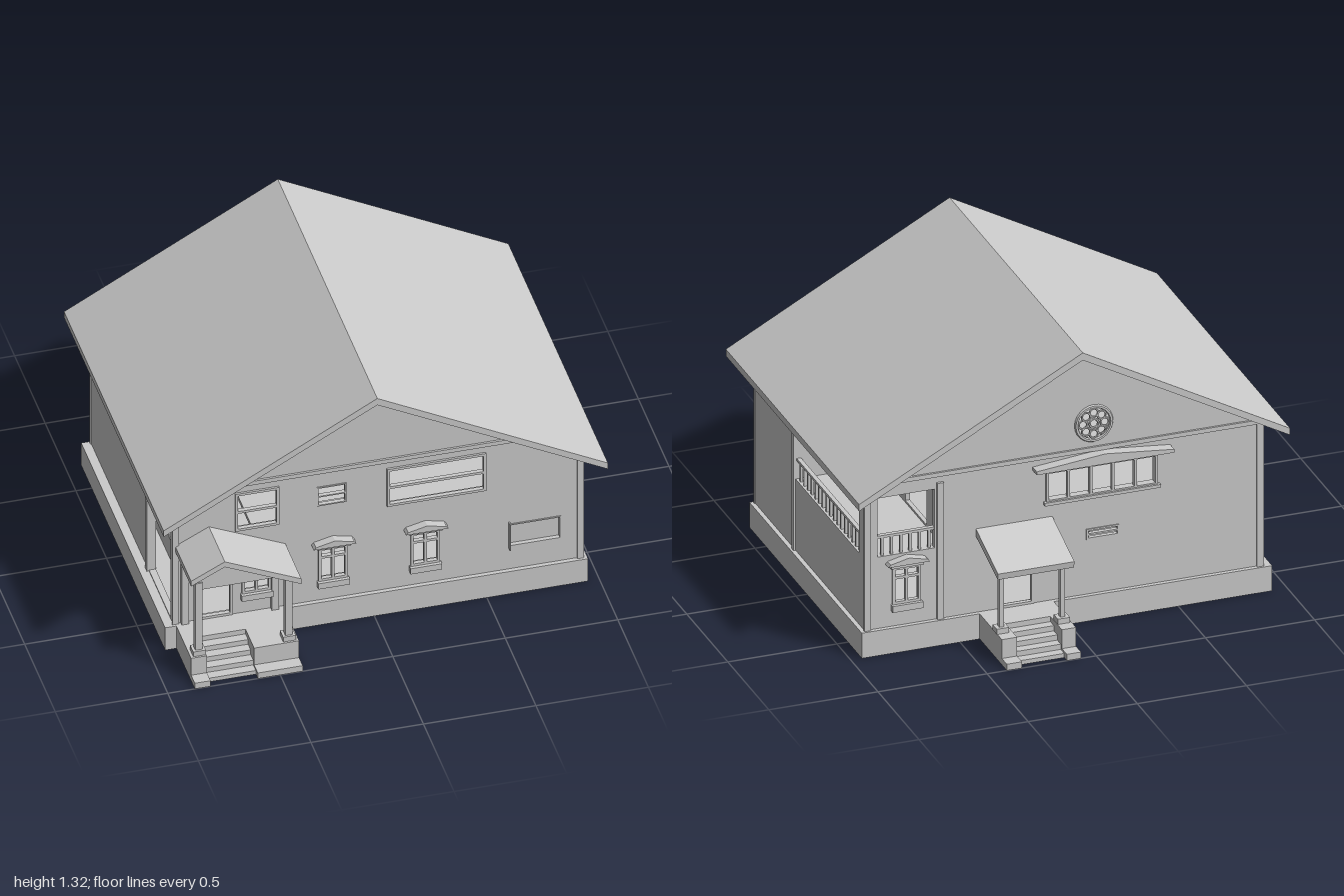
import * as THREE from 'three';

const mat = new THREE.MeshStandardMaterial({ color: 0xcccccc, flatShading: true, side: THREE.DoubleSide });

export function createModel() {
  const house = new THREE.Group();
  house.name = 'house';

  const add = (name, geo) => {
    const m = new THREE.Mesh(geo, mat);
    m.name = name;
    house.add(m);
    return m;
  };
  // Box from its limits
  const box = (name, x0, x1, y0, y1, z0, z1) => {
    const m = add(name, new THREE.BoxGeometry(x1 - x0, y1 - y0, z1 - z0));
    m.position.set((x0 + x1) / 2, (y0 + y1) / 2, (z0 + z1) / 2);
    return m;
  };
  const poly = pts => new THREE.Shape(pts.map(p => new THREE.Vector2(...p)));
  // Slab with rectangular holes [u0, u1, y0, y1], extruded along z
  const slab = (pts, depth, holes = []) => {
    const s = poly(pts);
    for (const [a, b, c, d] of holes) s.holes.push(poly([[a, c], [a, d], [b, d], [b, c]]));
    return new THREE.ExtrudeGeometry(s, { depth, bevelEnabled: false, curveSegments: 24 });
  };
  const wallZ = (name, pts, z, depth, holes) => { const m = add(name, slab(pts, depth, holes)); m.position.z = z; return m; };
  // Side wall: profile runs along u = -z
  const wallX = (name, pts, x, depth, holes) => {
    const m = add(name, slab(pts, depth, holes).rotateY(Math.PI / 2));
    m.position.x = x;
    return m;
  };
  const rect = (a, b, c, d) => [[a, c], [b, c], [b, d], [a, d]];

  // Foundation
  box('foundation', -0.93, 0.95, 0, 0.12, -0.67, 0.70);

  // Front and back walls with gables
  const gable = [[-0.89, 0.12], [0.93, 0.12], [0.93, 0.765], [-0.04, 1.285], [-0.89, 0.815]];
  const lowX = [-0.52, -0.18, 0.23];
  const upper = [[-0.615, -0.42, 0.565, 0.765], [-0.25, -0.12, 0.625, 0.725], [0.06, 0.5, 0.565, 0.765]];
  wallZ('frontWall', gable, 0.65, 0.03, [
    ...lowX.map(x => [x - 0.06, x + 0.06, 0.225, 0.4]), ...upper,
    [-0.78, -0.63, 0.125, 0.39], [0.605, 0.835, 0.24, 0.36]]);
  const backShape = poly(gable);
  const roundHole = new THREE.Path();
  roundHole.absarc(-0.12, 0.93, 0.08, 0, Math.PI * 2, true);
  backShape.holes.push(roundHole);
  for (const [a, b, c, d] of [[0.68, 0.8, 0.225, 0.4], [0.61, 0.87, 0.46, 0.74], [-0.4, 0.09, 0.6, 0.73],
    [0.16, 0.3, 0.125, 0.4], [-0.23, -0.09, 0.385, 0.425]])
    backShape.holes.push(poly([[a, c], [a, d], [b, d], [b, c]]));
  add('backWall', new THREE.ExtrudeGeometry(backShape, { depth: 0.03, bevelEnabled: false })).position.z = -0.65;

  // Side walls: balcony opening on the left, entry opening on the right
  wallX('leftWall', rect(-0.65, 0.62, 0.12, 0.76), 0.9, 0.03, [[-0.19, 0.58, 0.46, 0.735]]);
  wallX('rightWall', rect(-0.65, 0.62, 0.12, 0.81), -0.89, 0.03, [[-0.64, -0.29, 0.125, 0.75]]);

  // Floors and inner walls
  box('upperFloor', -0.5, 0.91, 0.44, 0.46, -0.63, 0.66);
  box('upperFloorBack', -0.87, -0.5, 0.44, 0.46, -0.63, 0.2);
  box('atticFloor', -0.87, 0.9, 0.762, 0.77, -0.63, 0.66);
  wallX('balconyInnerWall', rect(-0.21, 0.62, 0.46, 0.765), 0.55, 0.02, [[0.19, 0.45, 0.47, 0.73]]);
  box('balconyEndWall', 0.55, 0.91, 0.46, 0.765, 0.19, 0.21);
  box('upperHallWall', -0.87, -0.16, 0.46, 0.765, 0.18, 0.2);
  box('lowerHallWall', -0.87, -0.3, 0.12, 0.45, -0.12, -0.1);
  for (let i = 0; i < 9; i++)
    box('innerStair', -0.78, -0.69, 0.12, 0.155 + i * 0.035, 0.3 - i * 0.042, 0.342 - i * 0.042);

  // Main roof
  wallZ('roof', [[-0.99, 0.76], [-0.04, 1.28], [0.985, 0.735], [0.985, 0.767], [-0.04, 1.315], [-0.99, 0.792]], -0.73, 1.625);

  // Bands under the gables, corner boards and pilasters
  for (const z of [0.68, -0.66]) {
    box('gableBand', -0.88, 0.86, 0.8, 0.82, z, z + 0.01);
    box('cornerBoard', -0.895, -0.865, 0.12, 0.8, z, z + 0.008);
    box('cornerBoard', 0.905, 0.935, 0.12, 0.765, z, z + 0.008);
  }
  box('sidePilaster', 0.93, 0.94, 0.12, 0.75, 0.19, 0.215);
  box('sidePilaster', -0.9, -0.89, 0.12, 0.78, 0.265, 0.29);
  box('backPilaster', 0.57, 0.6, 0.12, 0.77, -0.662, -0.65);

  // Window frame with inner bars, lying at depth z
  const frame = (name, [a, b, c, d], z, cols, rows, t = 0.012) => {
    const z0 = z - 0.01, z1 = z + 0.01;
    wallZ(name, rect(a, b, c, d), z0, 0.02, [[a + t, b - t, c + t, d - t]]);
    for (let i = 1; i < cols; i++) {
      const x = a + (b - a) * i / cols;
      box(name + 'Mullion', x - t / 2, x + t / 2, c, d, z0, z1);
    }
    for (const r of rows) box(name + 'Transom', a, b, c + (d - c) * r - t / 2, c + (d - c) * r + t / 2, z0, z1);
  };
  // Ground floor window with sill and small pediment; s is the outward z direction
  const trimmedWindow = (x, face, s) => {
    frame('groundWindow', [x - 0.065, x + 0.065, 0.225, 0.4], face, 2, [0.72]);
    const span = w => s > 0 ? [face, face + w] : [face - w, face];
    box('windowSill', x - 0.07, x + 0.07, 0.195, 0.225, ...span(0.025));
    box('windowLintel', x - 0.075, x + 0.075, 0.4, 0.42, ...span(0.02));
    wallZ('windowPediment', [[x - 0.095, 0.42], [x + 0.095, 0.42], [x + 0.085, 0.432], [x, 0.452], [x - 0.085, 0.432]], span(0.04)[0], 0.04);
  };
  lowX.forEach(x => trimmedWindow(x, 0.68, 1));
  trimmedWindow(0.74, -0.65, -1);
  frame('upperWindow', upper[0], 0.68, 1, [0.5]);
  frame('smallWindow', upper[1], 0.675, 1, [0.5], 0.006);
  frame('wideWindow', upper[2], 0.68, 1, [0.5]);
  frame('frontDoorFrame', [-0.785, -0.625, 0.12, 0.395], 0.675, 1, []);
  frame('backDoorFrame', [0.155, 0.305, 0.12, 0.405], -0.645, 1, []);
  box('hatchPanel', 0.6, 0.84, 0.235, 0.365, 0.645, 0.66);
  frame('hatchFrame', [0.605, 0.835, 0.24, 0.36], 0.674, 1, [], 0.006);
  box('hatchFlap', 0.602, 0.608, 0.23, 0.37, 0.68, 0.7);

  // Back strip window, its pediment and the slot vent
  frame('stripWindow', [-0.41, 0.1, 0.59, 0.74], -0.65, 5, []);
  wallZ('stripPediment', [[-0.47, 0.752], [0.16, 0.752], [0.16, 0.768], [-0.155, 0.8], [-0.47, 0.768]], -0.7, 0.05);
  box('stripSill', -0.42, 0.11, 0.58, 0.595, -0.67, -0.65);
  frame('slotVent', [-0.235, -0.085, 0.38, 0.43], -0.645, 1, [0.5], 0.008);

  // Round gable window with petals
  const rose = new THREE.Group();
  rose.name = 'roundWindow';
  rose.position.set(-0.12, 0.93, -0.65);
  const ring = (r, t, x = 0, y = 0) => {
    const m = new THREE.Mesh(new THREE.TorusGeometry(r, t, 6, 24), mat);
    m.position.set(x, y, 0);
    rose.add(m);
  };
  ring(0.08, 0.009);
  ring(0.02, 0.006);
  for (let i = 0; i < 8; i++) {
    const a = i * Math.PI / 4;
    ring(0.019, 0.005, 0.05 * Math.cos(a), 0.05 * Math.sin(a));
  }
  house.add(rose);

  // Balcony railing
  box('sideRail', 0.905, 0.925, 0.545, 0.557, -0.6, 0.19);
  box('backRail', 0.6, 0.88, 0.545, 0.557, -0.645, -0.625);
  for (let i = 0; i < 17; i++) {
    const z = -0.56 + i * 0.045;
    box('sideBaluster', 0.909, 0.921, 0.46, 0.547, z - 0.006, z + 0.006);
  }
  for (let i = 0; i < 6; i++) {
    const x = 0.63 + i * 0.043;
    box('backBaluster', x - 0.006, x + 0.006, 0.46, 0.547, -0.641, -0.629);
  }

  // Porch base: pedestals beside a flight of steps; s is the outward z direction
  const porchBase = (x0, s0, s1, x1, s, near) => {
    const b = (name, a, c, y0, y1, d0, d1) => box(name, a, c, y0, y1, Math.min(s * d0, s * d1), Math.max(s * d0, s * d1));
    b('porchPedestal', x0, s0, 0, 0.12, near, 0.94);
    b('porchPedestal', s1, x1, 0, 0.12, near, 0.94);
    b('porchLanding', s0, s1, 0, 0.12, near, 0.8);
    b('porchFoot', x0, s0, 0, 0.03, 0.94, 1);
    b('porchFoot', s1, x1, 0, 0.03, 0.94, 1);
    for (let i = 0; i < 4; i++) b('porchStep', s0, s1, 0, 0.095 - i * 0.025, 0.8 + i * 0.042, 0.842 + i * 0.042);
  };
  porchBase(-0.88, -0.81, -0.6, -0.4, 1, 0.68);
  porchBase(0.07, 0.135, 0.34, 0.41, -1, 0.65);

  const post = (x, z, top, w = 0.016) => {
    box('porchPostFoot', x - 0.028, x + 0.028, 0.12, 0.145, z - 0.026, z + 0.026);
    box('porchPost', x - w, x + w, 0.145, top, z - w, z + w);
  };

  // Front porch: gabled roof, beams and posts
  wallZ('frontPorchRoof', [[-0.88, 0.505], [-0.73, 0.58], [-0.39, 0.422], [-0.39, 0.45], [-0.73, 0.608], [-0.88, 0.533]], 0.67, 0.27);
  wallZ('frontPorchGable', [[-0.855, 0.46], [-0.46, 0.46], [-0.73, 0.582], [-0.855, 0.52]], 0.895, 0.02);
  box('porchBeam', -0.855, -0.825, 0.46, 0.51, 0.68, 0.91);
  box('porchBeam', -0.455, -0.425, 0.43, 0.45, 0.68, 0.91);
  post(-0.84, 0.905, 0.5);
  post(-0.44, 0.905, 0.45);
  box('wallPost', -0.856, -0.824, 0.12, 0.5, 0.68, 0.7);
  box('wallPost', -0.456, -0.424, 0.12, 0.45, 0.68, 0.7);

  // Back porch: lean-to roof on two posts
  wallX('backPorchRoof', [[0.63, 0.49], [0.915, 0.395], [0.92, 0.425], [0.63, 0.525]], 0.07, 0.35);
  box('backPorchBeam', 0.09, 0.4, 0.395, 0.415, -0.87, -0.85);
  post(0.105, -0.86, 0.41, 0.011);
  post(0.385, -0.86, 0.41, 0.011);

  return house;
}
